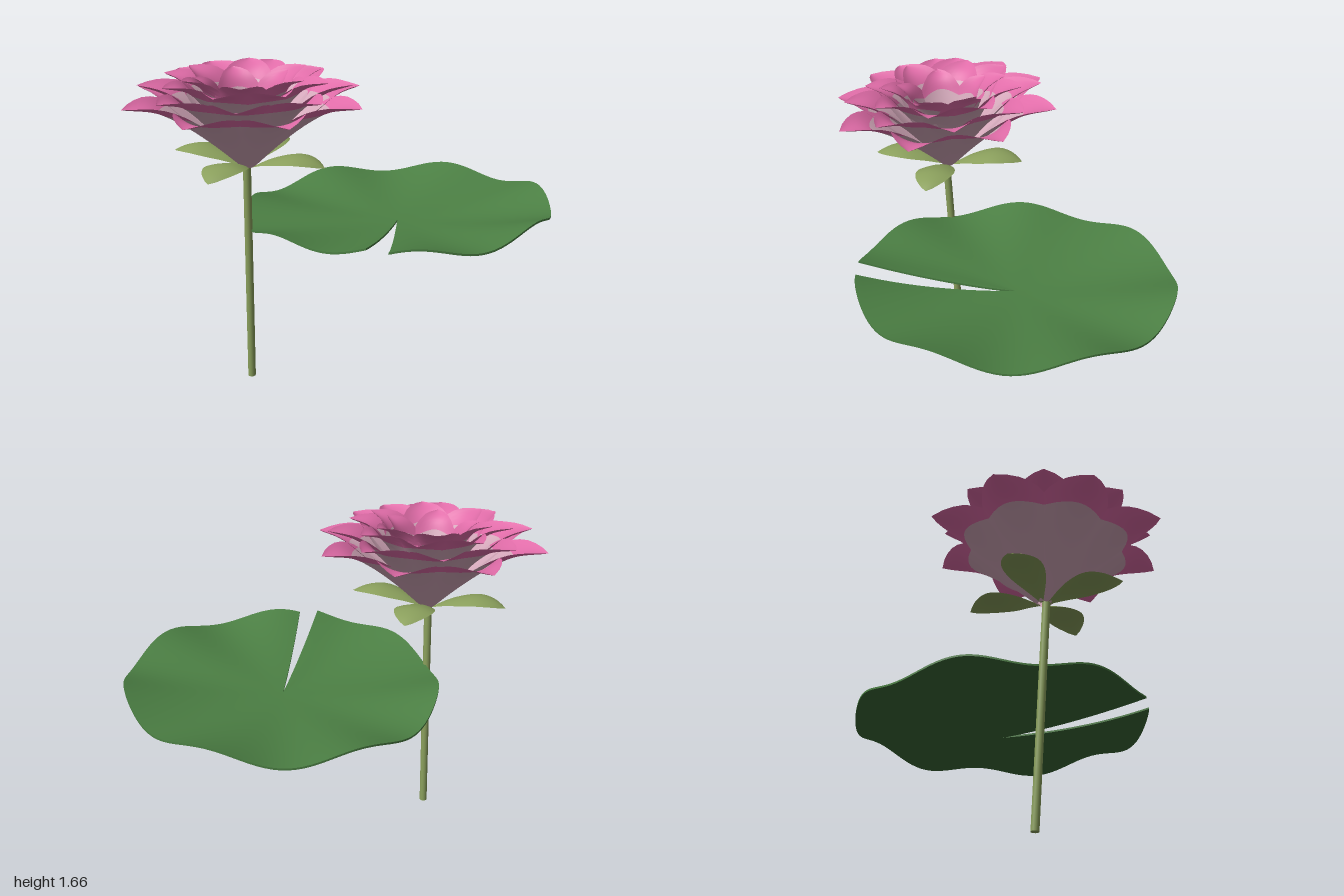
import * as THREE from 'three';

const mat = (name, color, side = THREE.DoubleSide) => {
  const m = new THREE.MeshStandardMaterial({ color, side });
  m.name = name;
  return m;
};

// Smooth grid surface; rows from splitRow onwards use the second material.
function gridSurface(rows, cols, point, splitRow = rows) {
  const pos = [], index = [];
  for (let i = 0; i <= rows; i++)
    for (let j = 0; j <= cols; j++) pos.push(...point(i, j));
  for (let i = 0; i < rows; i++)
    for (let j = 0; j < cols; j++) {
      const a = i * (cols + 1) + j, b = a + cols + 1;
      index.push(a, b, a + 1, b, b + 1, a + 1);
    }
  const g = new THREE.BufferGeometry();
  g.setAttribute('position', new THREE.Float32BufferAttribute(pos, 3));
  g.setIndex(index);
  g.addGroup(0, splitRow * cols * 6, 0);
  if (splitRow < rows) g.addGroup(splitRow * cols * 6, (rows - splitRow) * cols * 6, 1);
  g.computeVertexNormals();
  return g;
}

// Petal pointing along +z: profile is [radius, height] from base to tip.
function petalGeometry(profile, halfWidth, cup, split) {
  const curve = new THREE.CatmullRomCurve3(profile.map(([r, y]) => new THREE.Vector3(0, y, r)));
  const rows = 18, cols = 10, splitRow = split ? 11 : rows;
  return gridSurface(rows, cols, (i, j) => {
    const v = (j / cols) * 2 - 1;
    // the colour border is an arc that bulges towards the tip
    const border = split ? split - 0.14 * v * v : 1;
    const u = i <= splitRow ? border * i / splitRow
      : border + (1 - border) * (i - splitRow) / (rows - splitRow);
    const p = curve.getPointAt(u), t = curve.getTangentAt(u);
    const s = Math.sin(Math.PI * Math.pow(0.03 + 0.97 * u, 1.3));
    const w = halfWidth * Math.pow(Math.max(s, 0), 0.8);
    const lift = cup * w * v * v;
    return [v * w, p.y + t.z * lift, p.z - t.y * lift];
  }, splitRow);
}

export function createModel() {
  const root = new THREE.Group();
  const pale = mat('palePink', 0xd4a8ba);
  const pink = mat('petalPink', 0xe06ca8);
  const stemGreen = mat('stemGreen', 0x8a9f5c);
  const leafGreen = mat('leafGreen', 0x4c8044);
  const leafUnder = mat('leafUnderside', 0x3a6836);
  const podGreen = mat('podGreen', 0x97b25c);
  const stamenOlive = mat('stamenOlive', 0x55562c);

  const add = (parent, name, geometry, material) => {
    const m = new THREE.Mesh(geometry, material);
    m.name = name;
    parent.add(m);
    return m;
  };

  // Leaning stem
  const base = new THREE.Vector3(-0.44, 0, 0.31), top = new THREE.Vector3(-0.4, 1.19, 0.365);
  const stemPath = new THREE.LineCurve3(base, top);
  add(root, 'stem', new THREE.TubeGeometry(stemPath, 4, 0.02, 16), stemGreen);
  const foot = add(root, 'stemFoot', new THREE.CircleGeometry(0.02, 16), stemGreen);
  foot.position.copy(base);
  foot.rotation.x = Math.PI / 2;

  // Flower head, tilted along the stem
  const flower = new THREE.Group();
  flower.name = 'flower';
  flower.position.set(-0.4, 1.17, 0.35);
  flower.rotation.set(0.045, 0, -0.02);
  root.add(flower);

  // Petal rings from outside to inside
  const rings = [
    { n: 8, turn: 0, w: 0.18, cup: 0.3, p: [[0.03, 0], [0.17, 0.13], [0.32, 0.25], [0.45, 0.325], [0.6, 0.35]] },
    { n: 8, turn: 0.39, w: 0.165, cup: 0.32, p: [[0.03, 0.01], [0.14, 0.15], [0.27, 0.29], [0.38, 0.37], [0.52, 0.41]] },
    { n: 8, turn: 0.12, w: 0.15, cup: 0.32, p: [[0.03, 0.02], [0.11, 0.16], [0.21, 0.32], [0.3, 0.41], [0.42, 0.445]] },
    { n: 6, turn: 0.4, w: 0.14, cup: 0.3, p: [[0.03, 0.03], [0.09, 0.18], [0.17, 0.34], [0.24, 0.43], [0.33, 0.47]] },
    { n: 5, turn: 0.1, w: 0.12, cup: 0.28, p: [[0.03, 0.04], [0.09, 0.18], [0.15, 0.33], [0.19, 0.41], [0.25, 0.45]] },
  ];
  rings.forEach(({ n, turn, w, cup, p }, k) => {
    const g = petalGeometry(p, w, cup, 0.74);
    for (let i = 0; i < n; i++)
      add(flower, `petalRing${k + 1}`, g, [pale, pink]).rotation.y = turn + (i / n) * Math.PI * 2;
  });

  // Four arching sepals
  const sepal = petalGeometry([[0.02, 0], [0.13, 0.055], [0.26, 0.085], [0.35, 0.07], [0.41, 0.04]], 0.1, -0.2);
  for (let i = 0; i < 4; i++) add(flower, 'sepal', sepal, stemGreen).rotation.y = i * Math.PI / 2;

  // Seed pod with a spiral of seeds
  const podProfile = [[0, 0.03], [0.03, 0.04], [0.05, 0.15], [0.07, 0.23], [0.068, 0.25], [0, 0.258]];
  add(flower, 'seedPod', new THREE.LatheGeometry(podProfile.map(([x, y]) => new THREE.Vector2(x, y)), 28), podGreen);
  const seed = new THREE.SphereGeometry(0.008, 10, 8);
  for (let i = 0; i < 36; i++) {
    const r = 0.065 * Math.sqrt((i + 0.5) / 36), a = i * 2.39996;
    add(flower, 'seed', seed, podGreen).position.set(r * Math.sin(a), 0.256, r * Math.cos(a));
  }

  // Fringe of stamens around the pod
  for (let i = 0; i < 32; i++) {
    const a = (i / 32) * Math.PI * 2, r = 0.088 + 0.014 * Math.sin(i * 2.7);
    const path = new THREE.QuadraticBezierCurve3(
      new THREE.Vector3(0.035 * Math.sin(a), 0.08, 0.035 * Math.cos(a)),
      new THREE.Vector3(0.075 * Math.sin(a), 0.14, 0.075 * Math.cos(a)),
      new THREE.Vector3(r * Math.sin(a), 0.235, r * Math.cos(a)));
    add(flower, 'stamen', new THREE.TubeGeometry(path, 5, 0.003, 5), stamenOlive);
  }

  // Lily pad: a wavy shallow bowl with a narrow notch
  const pad = new THREE.Group();
  pad.name = 'lilyPad';
  pad.position.set(0.205, 0, -0.17);
  root.add(pad);
  const rad = Math.PI / 180, start = 15.8 * rad, end = 368.3 * rad, R = 0.795, rows = 20, cols = 140;
  const padPoint = (rho, j, drop) => {
    const a = start + (end - start) * j / cols;
    const wave = 0.03 * Math.pow(rho, 3) * Math.sin(7 * (a - start) + 0.6);
    const lift = 0.045 * rho * Math.exp(-Math.pow((end - a) / (20 * rad), 2));
    const x = R * rho * Math.sin(a), z = R * rho * Math.cos(a);
    return [x, 0.803 + 0.085 * rho * rho + wave + lift + 0.035 * x - drop, z];
  };
  add(pad, 'padTop', gridSurface(rows, cols, (i, j) => padPoint(i / rows, j, 0)), leafGreen);
  add(pad, 'padUnderside', gridSurface(rows, cols, (i, j) => padPoint(1 - i / rows, j, 0.01)), leafUnder);
  add(pad, 'padRim', gridSurface(1, cols, (i, j) => padPoint(1, j, 0.01 * i)), leafGreen);
  for (const j of [0, cols])
    add(pad, 'notchEdge', gridSurface(1, rows, (i, k) => padPoint(k / rows, j, 0.01 * (j ? 1 - i : i))), leafGreen);

  // Geometry groups only matter where there are two materials
  root.traverse(o => { if (o.isMesh && !Array.isArray(o.material)) o.geometry.clearGroups(); });
  return root;
}
